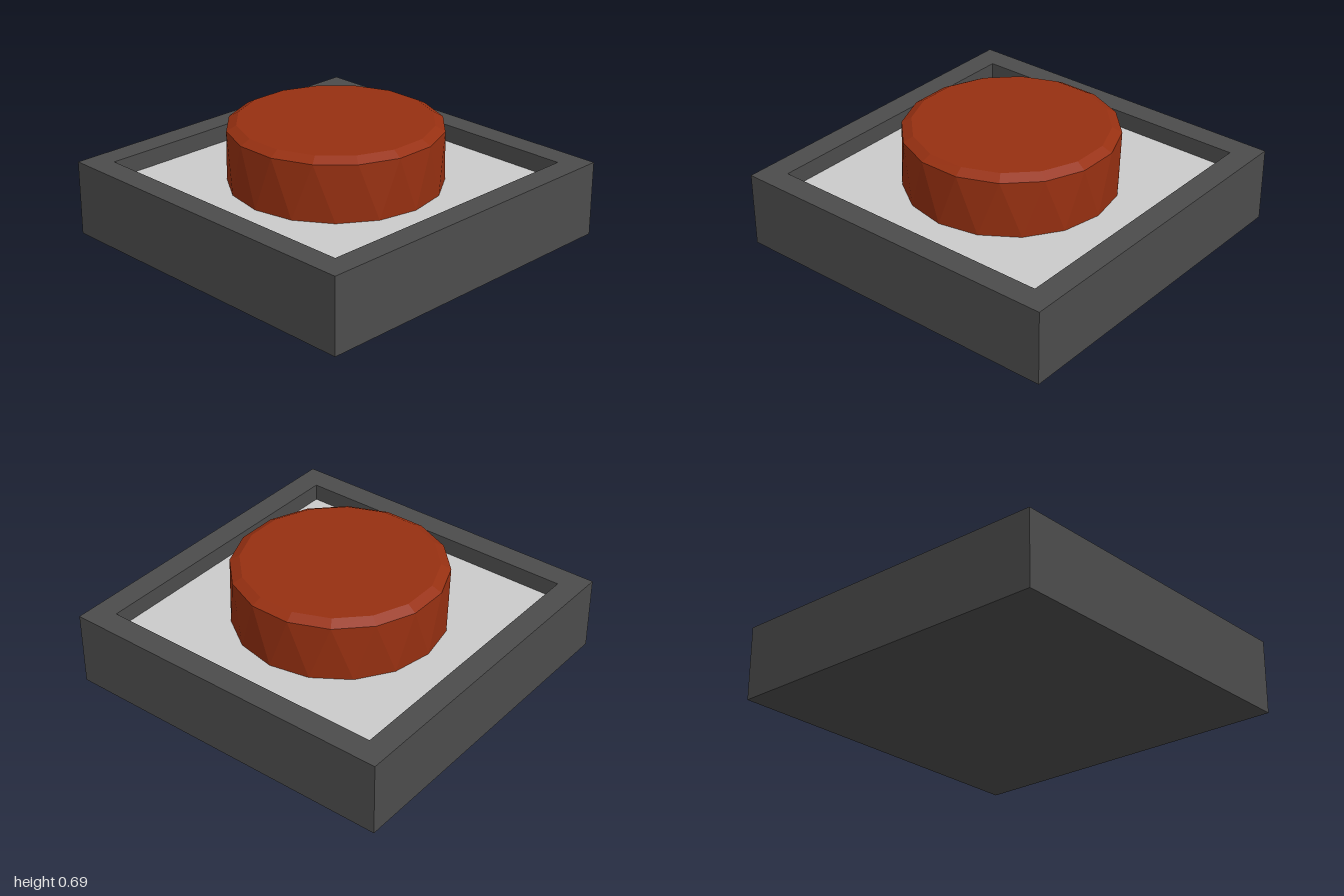
import * as THREE from 'three';

const SIDES = 16;
const RIM_Y = 0.43, FLOOR_Y = 0.33, INNER = 0.86;

const material = (color) => new THREE.MeshStandardMaterial({ color, flatShading: true });

function addPart(group, name, geometry, color) {
  const mesh = new THREE.Mesh(geometry, material(color));
  mesh.name = name;
  group.add(mesh);
  return mesh;
}

// Square tray: a four-sided lathe of the underside, outer wall, rim and inner wall
function trayGeometry() {
  const d = Math.SQRT2;
  const profile = [[0, 0], [d, 0], [d, RIM_Y], [INNER * d, RIM_Y], [INNER * d, FLOOR_Y]]
    .map(([r, y]) => new THREE.Vector2(r, y));
  const geometry = new THREE.LatheGeometry(profile, 4, Math.PI / 4).toNonIndexed();
  geometry.computeVertexNormals();
  return geometry;
}

// Button: the foot ring is turned half a step from the shoulder, giving triangular side facets
function buttonGeometry() {
  const rings = [
    { r: 0.6, y: FLOOR_Y, turn: 0 },
    { r: 0.6, y: 0.655, turn: 0.5 },
    { r: 0.545, y: 0.685, turn: 0.5 },
  ];
  const positions = [];
  for (const { r, y, turn } of rings) {
    for (let i = 0; i < SIDES; i++) {
      const a = ((i + turn) / SIDES) * Math.PI * 2;
      positions.push(r * Math.sin(a), y, r * Math.cos(a));
    }
  }
  positions.push(0, 0.685, 0);

  const index = [];
  for (let i = 0; i < SIDES; i++) {
    const j = (i + 1) % SIDES;
    const [foot, shoulder, top] = [0, SIDES, SIDES * 2];
    index.push(foot + i, foot + j, shoulder + i, shoulder + i, foot + j, shoulder + j); // side
    index.push(shoulder + i, shoulder + j, top + j, shoulder + i, top + j, top + i); // bevel
    index.push(SIDES * 3, top + i, top + j); // cap
  }
  const indexed = new THREE.BufferGeometry();
  indexed.setAttribute('position', new THREE.Float32BufferAttribute(positions, 3));
  indexed.setIndex(index);
  const geometry = indexed.toNonIndexed();
  geometry.computeVertexNormals();
  return geometry;
}

export function createModel() {
  const group = new THREE.Group();
  group.name = 'floorButton';

  addPart(group, 'tray', trayGeometry(), 0x4c4c4c);

  // Light plate set into the tray
  const plate = new THREE.PlaneGeometry(INNER * 2, INNER * 2).rotateX(-Math.PI / 2);
  addPart(group, 'recessedPlate', plate, 0xcccccc).position.y = FLOOR_Y;

  addPart(group, 'button', buttonGeometry(), 0x973011);

  return group;
}
